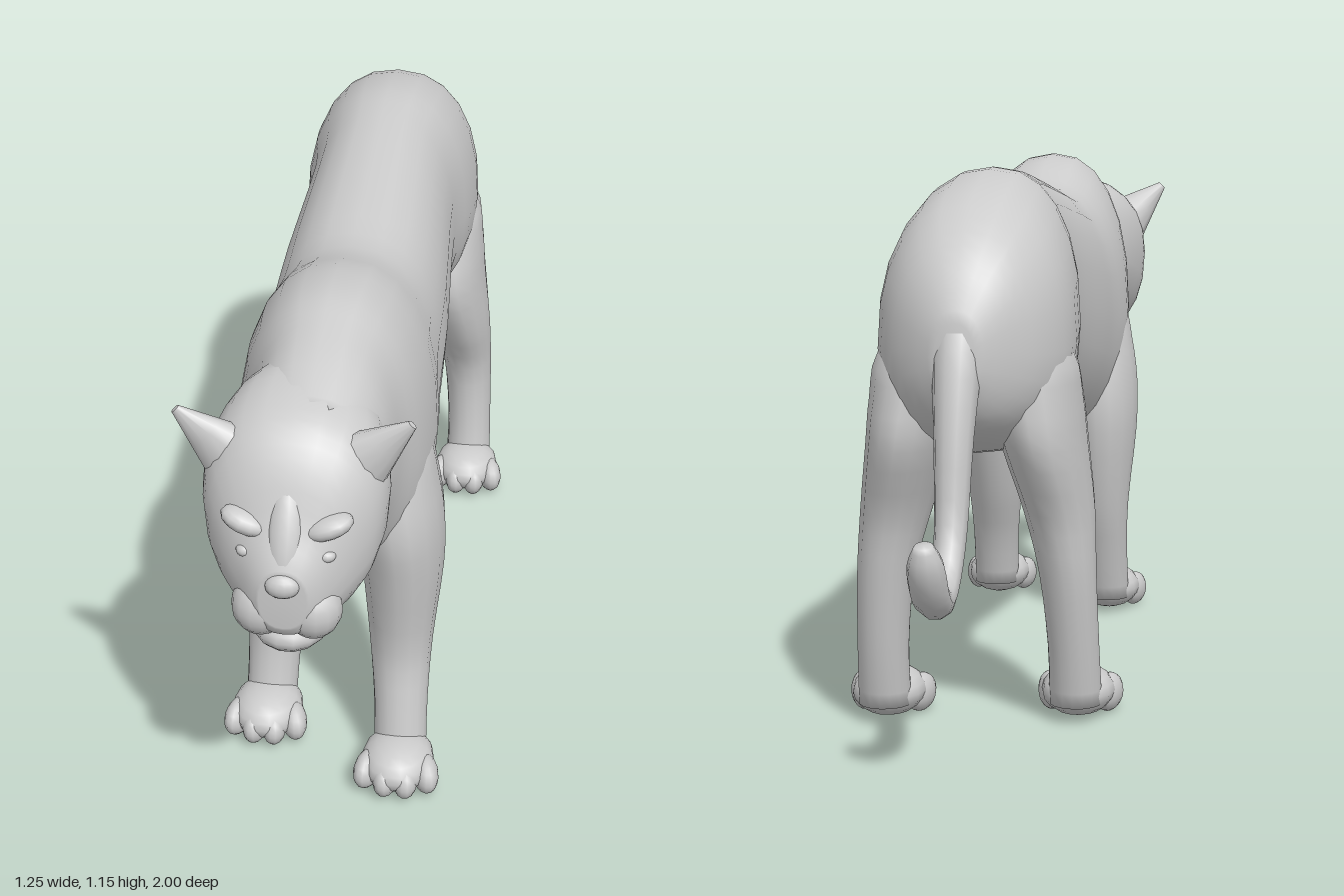
import * as THREE from 'three';

const mat = new THREE.MeshStandardMaterial({ color: 0xcccccc, side: THREE.DoubleSide });

function add(parent, geo, name) {
  const m = new THREE.Mesh(geo, mat);
  m.name = name;
  parent.add(m);
  return m;
}

// Adds smooth in-between rows to a list of number rows
function refine(rows, n = 3) {
  const out = [];
  const at = (i) => rows[Math.max(0, Math.min(rows.length - 1, i))];
  for (let i = 0; i < rows.length - 1; i++) {
    const [a, b, c, d] = [at(i - 1), at(i), at(i + 1), at(i + 2)];
    for (let k = 0; k < n; k++) {
      const t = k / n;
      out.push(b.map((p, j) => p + 0.5 * t * (c[j] - a[j]
        + t * (2 * a[j] - 5 * p + 4 * c[j] - d[j] + t * (3 * (p - c[j]) + d[j] - a[j])))));
    }
  }
  out.push(at(rows.length - 1));
  return out;
}

// Skin over rings { c: centre, u, v: half axes, low: scale of the -v half }; u x v points along the path
function loft(rings, sides, power) {
  const pos = [], idx = [];
  const soft = (s) => Math.sign(s) * Math.abs(s) ** power;
  for (const { c, u, v, low = 1 } of rings)
    for (let j = 0; j < sides; j++) {
      const a = (j / sides) * Math.PI * 2, ca = soft(Math.cos(a));
      const sa = soft(Math.sin(a)) * (j > sides / 2 ? low : 1);
      pos.push(...c.map((p, k) => p + u[k] * ca + v[k] * sa));
    }
  const last = rings.length - 1;
  for (let i = 0; i < last; i++)
    for (let j = 0; j < sides; j++) {
      const k = (j + 1) % sides, a = i * sides + j, b = i * sides + k;
      idx.push(a, b, a + sides, b, b + sides, a + sides);
    }
  // End caps
  const c0 = pos.length / 3;
  pos.push(...rings[0].c, ...rings[last].c);
  for (let j = 0; j < sides; j++) {
    const k = (j + 1) % sides;
    idx.push(c0, k, j, c0 + 1, last * sides + j, last * sides + k);
  }
  const g = new THREE.BufferGeometry();
  g.setAttribute('position', new THREE.Float32BufferAttribute(pos, 3));
  g.setIndex(idx);
  g.computeVertexNormals();
  return g;
}

// Rows: z, top, bottom, half width, height of the widest point
const alongZ = (rows) => loft(refine(rows).map(([z, t, b, w, m]) => (
  { c: [0, m, z], u: [w, 0, 0], v: [0, t - m, 0], low: (m - b) / (t - m) })), 24, 0.88);

// Rows, top to bottom: y, x, z, half width, half depth
const downY = (rows) => loft(refine(rows).map(([y, x, z, w, d]) => (
  { c: [x, y, z], u: [w, 0, 0], v: [0, 0, d] })), 16, 1);

function ball(parent, name, p, r) {
  const m = add(parent, new THREE.SphereGeometry(1, 14, 10), name);
  m.position.set(...p);
  m.scale.set(...r);
  return m;
}

// Leg with paw; step slides the foot forward or back
function leg(parent, name, side, rows, step) {
  const g = new THREE.Group();
  g.name = name;
  const top = rows[0][0];
  const shaped = rows.map(([y, x, z, w, d]) =>
    [y, x * side, z + step * Math.min(1, (top - y) / (top - 0.2)), w, d]);
  add(g, downY(shaped), 'limb');
  const [, x, z] = shaped[shaped.length - 1];
  ball(g, 'paw', [x, 0.058, z + 0.045], [0.078, 0.053, 0.095]);
  for (let i = 0; i < 4; i++) {
    const o = i - 1.5;
    ball(g, 'toe', [x + o * 0.041, 0.046, z + 0.105 - Math.abs(o) * 0.022], [0.028, 0.041, 0.05])
      .rotation.y = o * 0.18;
  }
  parent.add(g);
}

export function createModel() {
  const root = new THREE.Group();
  root.name = 'bigCat';
  // The animal stands diagonally
  const cat = new THREE.Group();
  cat.name = 'cat';
  cat.rotation.y = -0.5;
  cat.position.set(0.048, 0, 0.026);
  root.add(cat);

  add(cat, alongZ([
    [-0.83, 0.87, 0.74, 0.04, 0.8], [-0.79, 0.96, 0.67, 0.1, 0.81], [-0.72, 1.04, 0.62, 0.16, 0.8],
    [-0.6, 1.11, 0.58, 0.2, 0.8], [-0.42, 1.15, 0.59, 0.195, 0.83], [-0.25, 1.145, 0.59, 0.172, 0.85],
    [0.08, 1.105, 0.515, 0.188, 0.8], [0.29, 1.085, 0.475, 0.192, 0.77], [0.46, 1.135, 0.475, 0.203, 0.76],
    [0.6, 1.15, 0.505, 0.19, 0.78], [0.7, 1.13, 0.58, 0.16, 0.83], [0.8, 1.1, 0.69, 0.145, 0.88],
    [0.9, 1.06, 0.74, 0.12, 0.9],
  ]), 'body');

  // Legs
  const front = [
    [0.98, 0.06, 0.53, 0.04, 0.05], [0.8, 0.1, 0.53, 0.088, 0.115], [0.7, 0.12, 0.53, 0.093, 0.145],
    [0.6, 0.135, 0.53, 0.093, 0.152], [0.48, 0.143, 0.53, 0.086, 0.13], [0.3, 0.143, 0.55, 0.068, 0.08],
    [0.17, 0.148, 0.59, 0.058, 0.06], [0.04, 0.152, 0.625, 0.056, 0.055],
  ];
  const hind = [
    [0.98, 0.03, -0.58, 0.04, 0.06], [0.8, 0.1, -0.59, 0.095, 0.135], [0.7, 0.122, -0.58, 0.095, 0.17],
    [0.6, 0.138, -0.575, 0.088, 0.18], [0.46, 0.167, -0.58, 0.074, 0.12], [0.33, 0.186, -0.605, 0.06, 0.075],
    [0.17, 0.196, -0.595, 0.054, 0.06], [0.04, 0.198, -0.57, 0.056, 0.058],
  ];
  leg(cat, 'leftFrontLeg', 1, front, 0);
  leg(cat, 'rightFrontLeg', -1, front, -0.14);
  leg(cat, 'leftHindLeg', 1, hind, 0);
  leg(cat, 'rightHindLeg', -1, hind, 0.055);

  // Tail: y, z, radius
  const path = refine([
    [0.9, -0.75, 0.05], [0.8, -0.8, 0.05], [0.65, -0.845, 0.04], [0.48, -0.88, 0.033],
    [0.39, -0.94, 0.03], [0.365, -1.02, 0.032], [0.4, -1.1, 0.037], [0.46, -1.14, 0.035], [0.5, -1.155, 0.018],
  ]);
  add(cat, loft(path.map(([y, z, r], i) => {
    const a = path[Math.max(0, i - 1)], b = path[Math.min(path.length - 1, i + 1)];
    const ty = b[0] - a[0], tz = b[1] - a[1], l = Math.hypot(ty, tz);
    return { c: [0, y, z], u: [r, 0, 0], v: [0, (tz / l) * r, (-ty / l) * r] };
  }), 10, 1), 'tail');

  // Head
  const head = new THREE.Group();
  head.name = 'head';
  head.position.x = -0.025;
  cat.add(head);
  add(head, alongZ([
    [0.72, 1.08, 0.78, 0.11, 0.92], [0.79, 1.085, 0.73, 0.155, 0.92], [0.88, 1.07, 0.67, 0.178, 0.89],
    [0.95, 1.04, 0.645, 0.168, 0.86], [1.0, 0.98, 0.645, 0.135, 0.82], [1.04, 0.89, 0.655, 0.095, 0.77],
    [1.07, 0.84, 0.665, 0.066, 0.75], [1.085, 0.81, 0.69, 0.045, 0.75],
  ]), 'skull');
  ball(head, 'lowerJaw', [0, 0.635, 0.98], [0.075, 0.045, 0.085]);
  ball(head, 'nose', [0, 0.785, 1.08], [0.034, 0.026, 0.024]);
  ball(head, 'noseBridge', [0, 0.87, 1.03], [0.036, 0.1, 0.03]).rotation.x = -0.45;
  for (const s of [-1, 1]) {
    ball(head, 'muzzlePad', [s * 0.05, 0.705, 1.03], [0.056, 0.062, 0.055]);
    ball(head, 'brow', [s * 0.075, 0.88, 1.015], [0.052, 0.024, 0.036]).rotation.z = s * 0.35;
    ball(head, 'eye', [s * 0.076, 0.828, 1.035], [0.018, 0.013, 0.016]);
    // Ear: flattened blunt cone leaning outward
    const ear = add(head, new THREE.CylinderGeometry(0.01, 0.072, 0.15, 12, 2), 'ear');
    ear.position.set(s * 0.167, 1.005, 0.92);
    ear.scale.z = 0.65;
    ear.rotation.set(0.15, 0, -s * 0.8);
  }
  return root;
}
